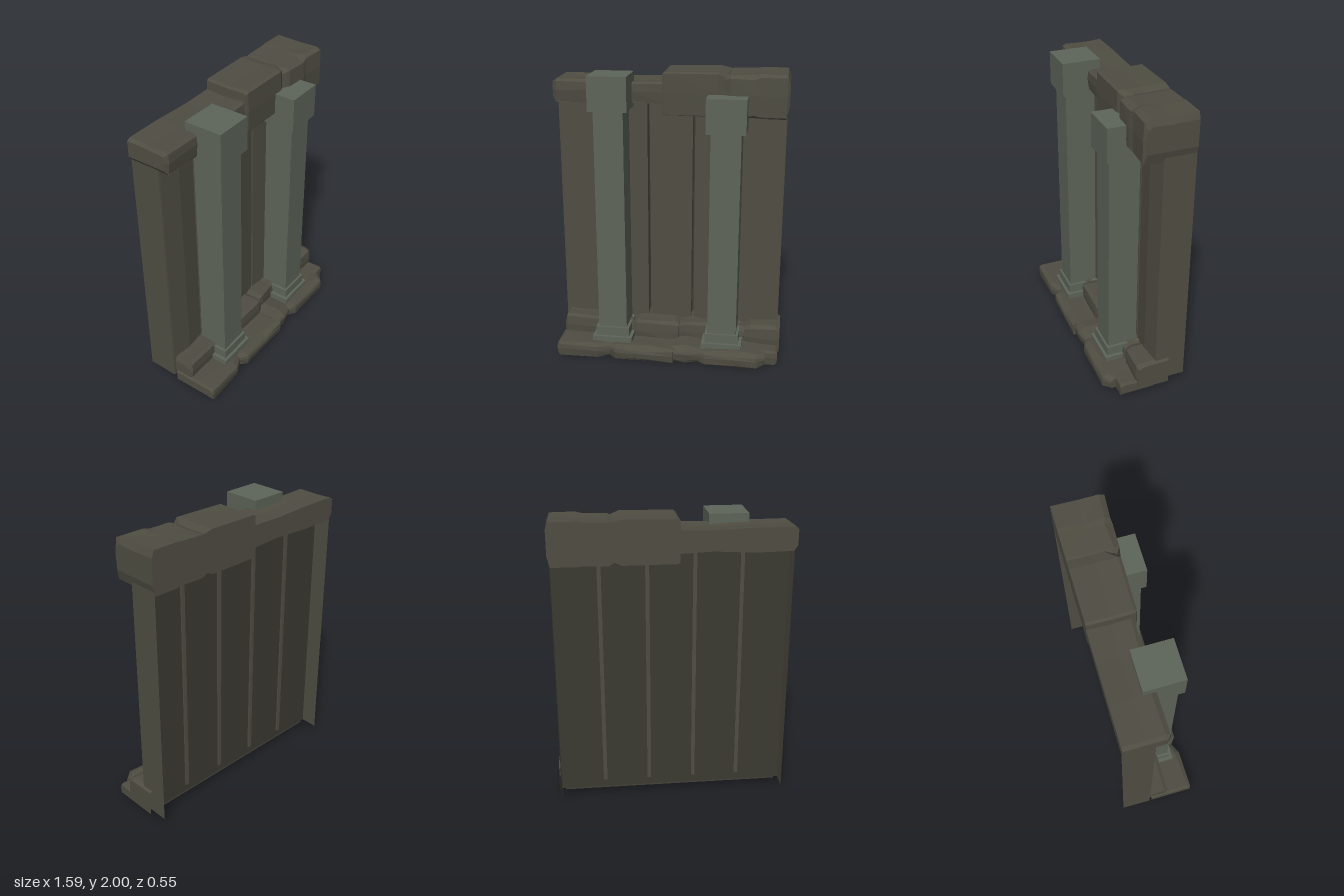
import * as THREE from 'three';

const stone = new THREE.MeshStandardMaterial({ color: 0x4f4d42, flatShading: true, side: THREE.DoubleSide });
const darkStone = new THREE.MeshStandardMaterial({ color: 0x3b3931, flatShading: true, side: THREE.DoubleSide });
const pillarStone = new THREE.MeshStandardMaterial({ color: 0x5d6458, flatShading: true });

// small repeatable noise for chipped edges
let seed = 7;
const noise = (a) => {
  seed = (seed * 16807) % 2147483647;
  return (seed / 2147483647) * a;
};

function add(parent, name, geometry, material) {
  const mesh = new THREE.Mesh(geometry, material);
  mesh.name = name;
  parent.add(mesh);
  return mesh;
}

// Rough block lofted along x. Each section: [x, bottom, top, front z, chamfer].
// An open block has no back and no underside.
function roughBlock(parent, name, back, sections, rough, open = false) {
  const pos = [], idx = [], n = 8;
  for (const [x, yb, yt, zf, c] of sections) {
    const ym = (yb + yt) / 2;
    const ring = [
      [back, yb], [back, yt], [(back + zf) / 2, yt - noise(rough)], [zf - c * 2, yt - noise(rough * 0.5)],
      [zf - c * 0.3, yt - c], [zf, ym + noise(rough)], [zf - noise(rough), yb + c * 0.5], [zf - c * 0.5, yb],
    ];
    ring.forEach(([z, y]) => pos.push(x, y, z));
  }
  const last = (sections.length - 1) * n;
  for (let i = 0; i < n; i++) {
    const k = (i + 1) % n;
    if (open && (i === 0 || i === n - 1)) continue;
    for (let j = 0; j < last; j += n) {
      idx.push(j + i, j + k, j + n + k, j + i, j + n + k, j + n + i);
    }
  }
  for (let i = 1; i < n - 1; i++) {
    idx.push(0, i + 1, i, last, last + i, last + i + 1);
  }
  const g = new THREE.BufferGeometry();
  g.setAttribute('position', new THREE.Float32BufferAttribute(pos, 3));
  g.setIndex(idx);
  g.computeVertexNormals();
  return add(parent, name, g, stone);
}

// Wall front: five slightly folded panels divided by deep narrow grooves,
// which stand proud of the flat back and stop short of its foot
function wall(parent) {
  const outline = [[-0.775, -0.275], [-0.778, -0.068]];
  for (let p = 0; p < 5; p++) {
    const x0 = -0.775 + p * 0.31, x1 = x0 + 0.31;
    outline.push([x0 + 0.008, -0.065], [x0 + 0.155, -0.048], [x1 - 0.008, -0.065]);
    if (p < 4) outline.push([x1 - 0.013, -0.168, true], [x1 + 0.013, -0.168, true]);
  }
  outline.push([0.772, -0.068], [0.772, -0.275]);
  const rows = [1.8, 0.74, 0.06], cols = outline.length;
  const g = new THREE.PlaneGeometry(1, 1, cols - 1, rows.length - 1);
  const p = g.attributes.position;
  for (let i = 0; i < p.count; i++) {
    const [x, z, groove] = outline[i % cols];
    const y = rows[Math.floor(i / cols)];
    p.setXYZ(i, x, groove ? Math.max(y, 0.12) : y, z);
  }
  g.computeVertexNormals();
  add(parent, 'wallPanels', g, stone);

  const back = add(parent, 'wallBack', new THREE.PlaneGeometry(1.547, 1.74), darkStone);
  back.position.set(-0.0015, 0.93, -0.155);
  back.rotation.y = Math.PI;
}

// Square pillar: two-step base, shaft and capital
function pillar(parent, name, x, capBottom) {
  const group = new THREE.Group();
  group.name = name;
  const block = (part, w, y0, y1, zb, zf) => {
    const g = new THREE.BoxGeometry(w, y1 - y0, zf - zb);
    add(group, part, g, pillarStone).position.set(0, (y0 + y1) / 2, (zb + zf) / 2);
  };
  block('baseStep', 0.28, 0.09, 0.135, -0.08, 0.195);
  block('plinth', 0.235, 0.135, 0.2, -0.06, 0.175);
  block('shaft', 0.2, 0.2, capBottom, -0.045, 0.16);
  block('capital', 0.262, capBottom, capBottom + 0.23, -0.075, 0.187);
  group.position.x = x;
  parent.add(group);
}

export function createModel() {
  seed = 7;
  const model = new THREE.Group();
  model.name = 'ruinedWall';

  wall(model);
  pillar(model, 'rightPillar', -0.385, 1.75);
  pillar(model, 'leftPillar', 0.388, 1.625);

  // lintel stones across the top
  roughBlock(model, 'lintelLow', -0.275, [
    [-0.795, 1.81, 1.915, -0.005, 0.012], [-0.77, 1.775, 1.93, 0.015, 0.015],
    [-0.52, 1.77, 1.93, 0.015, 0.02], [-0.26, 1.785, 1.92, 0.015, 0.015], [-0.03, 1.775, 1.925, 0.018, 0.012],
  ], 0.012);
  roughBlock(model, 'lintelHigh', -0.275, [
    [-0.047, 1.72, 1.985, 0.03, 0.01], [-0.03, 1.71, 1.995, 0.037, 0.01],
    [0.32, 1.71, 2.0, 0.045, 0.012], [0.385, 1.74, 1.985, 0.015, 0.03],
  ], 0.006);
  roughBlock(model, 'lintelEnd', -0.275, [
    [0.335, 1.75, 1.97, 0.02, 0.03], [0.40, 1.71, 1.985, 0.06, 0.02], [0.56, 1.715, 1.99, 0.068, 0.03],
    [0.60, 1.71, 1.995, 0.06, 0.02], [0.765, 1.71, 1.995, 0.07, 0.02], [0.783, 1.78, 1.95, 0.055, 0.02],
  ], 0.01);

  // upper course of footing stones
  roughBlock(model, 'upperFooting1', -0.155, [
    [-0.76, 0.1, 0.19, 0.065, 0.02], [-0.745, 0.06, 0.23, 0.078, 0.015],
    [-0.5, 0.06, 0.222, 0.08, 0.015], [-0.26, 0.06, 0.205, 0.072, 0.02],
  ], 0.01, true);
  roughBlock(model, 'upperFooting2', -0.155, [
    [-0.27, 0.06, 0.19, 0.065, 0.02], [-0.23, 0.06, 0.215, 0.08, 0.015],
    [0.04, 0.06, 0.218, 0.085, 0.02], [0.075, 0.06, 0.205, 0.078, 0.015],
  ], 0.01, true);
  roughBlock(model, 'upperFooting3', -0.155, [
    [0.07, 0.06, 0.2, 0.055, 0.015], [0.12, 0.06, 0.215, 0.065, 0.015],
    [0.25, 0.06, 0.21, 0.05, 0.015], [0.38, 0.06, 0.22, 0.06, 0.015], [0.54, 0.06, 0.2, 0.065, 0.025],
  ], 0.01, true);
  roughBlock(model, 'upperFootingEnd', -0.155, [
    [0.53, 0.06, 0.2, 0.05, 0.02], [0.58, 0.06, 0.225, 0.07, 0.02],
    [0.76, 0.035, 0.232, 0.077, 0.02], [0.79, 0.035, 0.217, 0.068, 0.02],
  ], 0.008, true);

  // lower course of footing stones
  roughBlock(model, 'lowerFooting1', -0.05, [
    [-0.77, 0.02, 0.09, 0.262, 0.015], [-0.755, 0, 0.1, 0.268, 0.012],
    [-0.48, 0, 0.1, 0.267, 0.02], [-0.375, 0.01, 0.088, 0.215, 0.015],
  ], 0.008, true);
  roughBlock(model, 'lowerFooting2', -0.05, [
    [-0.41, 0.01, 0.088, 0.22, 0.015], [-0.35, 0, 0.1, 0.268, 0.02],
    [-0.12, 0, 0.1, 0.27, 0.03], [0.06, 0, 0.1, 0.272, 0.015],
  ], 0.01, true);
  roughBlock(model, 'lowerFooting3', -0.05, [
    [0.05, 0.01, 0.105, 0.252, 0.025], [0.14, 0, 0.117, 0.257, 0.03], [0.26, 0.01, 0.092, 0.228, 0.02],
  ], 0.01, true);
  roughBlock(model, 'lowerFooting4', -0.05, [
    [0.23, 0.01, 0.088, 0.237, 0.015], [0.28, 0, 0.1, 0.264, 0.02], [0.5, 0, 0.107, 0.27, 0.03],
    [0.64, 0, 0.102, 0.27, 0.02], [0.695, 0.015, 0.092, 0.228, 0.02],
  ], 0.008, true);
  roughBlock(model, 'lowerFootingEnd', -0.05, [
    [0.58, 0.01, 0.09, 0.17, 0.02], [0.66, 0, 0.1, 0.19, 0.012],
    [0.765, 0, 0.1, 0.19, 0.01], [0.78, 0.02, 0.09, 0.187, 0.012],
  ], 0.006, true);

  // flat bed closing the hollow footing from below
  const bed = add(model, 'footingBed', new THREE.PlaneGeometry(1.5, 0.35), darkStone);
  bed.rotation.x = Math.PI / 2;
  bed.position.set(0, 0.05, 0.02);

  return model;
}
